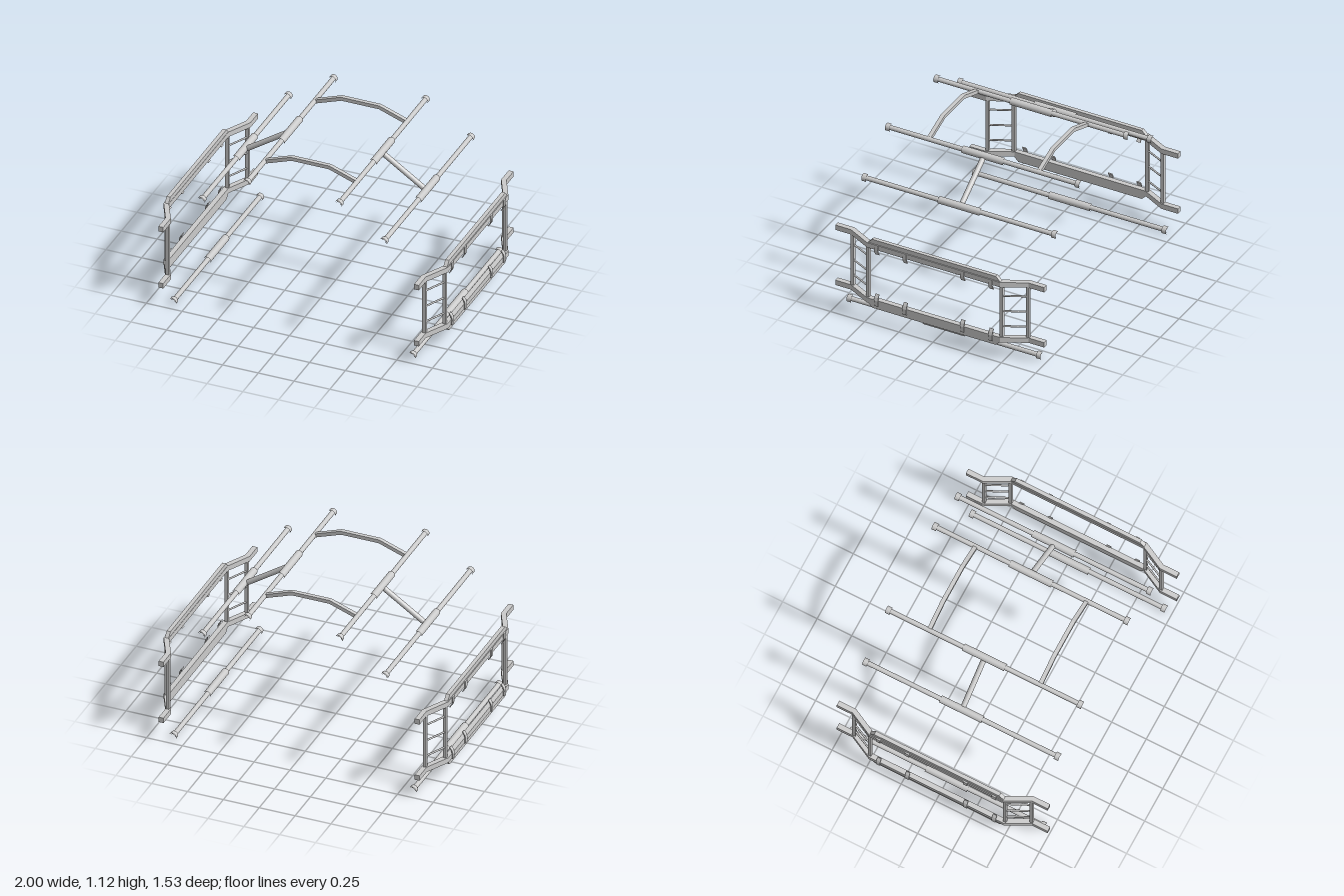
import * as THREE from 'three';

const grey = new THREE.MeshStandardMaterial({ color: 0xcccccc });
const X = new THREE.Vector3(1, 0, 0), Y = new THREE.Vector3(0, 1, 0), Z = new THREE.Vector3(0, 0, 1);

function add(parent, name, geometry, x = 0, y = 0, z = 0) {
  const mesh = new THREE.Mesh(geometry, grey);
  mesh.name = name;
  mesh.position.set(x, y, z);
  parent.add(mesh);
  return mesh;
}

// Flat bar following a 2D path with mitred corners, centred on its depth
function barAlong(points, width, depth) {
  const p = points.map(([u, v]) => new THREE.Vector2(u, v));
  const normal = (a, b) => new THREE.Vector2(a.y - b.y, b.x - a.x).normalize();
  const one = [], two = [];
  p.forEach((pt, i) => {
    const n0 = normal(p[Math.max(i - 1, 0)], p[Math.max(i, 1)]);
    const last = p.length - 1;
    const n1 = normal(p[Math.min(i, last - 1)], p[Math.min(i + 1, last)]);
    const m = n0.clone().add(n1).normalize();
    m.multiplyScalar(width / 2 / m.dot(n0));
    one.push(pt.clone().add(m));
    two.unshift(pt.clone().sub(m));
  });
  const g = new THREE.ExtrudeGeometry(new THREE.Shape([...one, ...two]), { depth, bevelEnabled: false });
  return g.translate(0, 0, -depth / 2);
}

// Open tube between two points
function tubeBetween(parent, name, a, b, radius, sides = 20, open = true) {
  const dir = b.clone().sub(a);
  const mesh = add(parent, name, new THREE.CylinderGeometry(radius, radius, dir.length(), sides, 1, open));
  mesh.position.copy(a).add(b).multiplyScalar(0.5);
  mesh.quaternion.setFromUnitVectors(Y, dir.normalize());
  return mesh;
}

// Long rod with a centre sleeve and an end collar at each end
function makeRod(x, y) {
  const rod = new THREE.Group();
  rod.name = 'rod';
  const tube = (name, r, length, z) =>
    add(rod, name, new THREE.CylinderGeometry(r, r, length, 20, 1, true).rotateX(Math.PI / 2), 0, 0, z);
  tube('rodTube', 0.016, 1.41, 0);
  tube('rodSleeve', 0.0245, 0.305, 0);
  for (const s of [-1, 1]) tube('rodCollar', 0.0255, 0.033, s * 0.693);
  rod.position.set(x, y, 0);
  return rod;
}

// Side frame on +x: two cranked rails joined by ladder ends
function makeSideFrame() {
  const frame = new THREE.Group();
  frame.name = 'sideFrame';
  const toPlan = new THREE.Matrix4().makeBasis(Z, X, Y);
  const toSide = new THREE.Matrix4().makeBasis(Z, Y, X.clone().negate());
  const midY = 0.382;
  const railPath = [[-0.763, 0.893], [-0.645, 0.893], [-0.483, 0.976], [0.483, 0.976], [0.645, 0.893], [0.763, 0.893]];

  for (const s of [-1, 1]) {
    const railY = midY + s * 0.211;
    add(frame, 'rail', barAlong(railPath, 0.034, 0.037).applyMatrix4(toPlan), 0, railY, 0);

    // Tapered stiffener on the outer edge of the rail
    const y0 = s * 0.015, y1 = s * 0.051;
    const taper = new THREE.Shape([[-0.487, y0], [0.487, y0], [0.452, y1], [-0.452, y1]]
      .map(([u, v]) => new THREE.Vector2(u, v)));
    const bar = new THREE.ExtrudeGeometry(taper, { depth: 0.026, bevelEnabled: false });
    add(frame, 'railStiffener', bar.translate(0, 0, -0.013).applyMatrix4(toSide), 0.974, railY, 0);

    // Curved clips wrapping the outside of the rail
    const clipPath = [[0.996, s * 0.022], [0.997, -s * 0.018], [0.991, -s * 0.038], [0.977, -s * 0.059]];
    for (const z of [-0.418, -0.21, 0.21, 0.418])
      add(frame, 'railClip', barAlong(clipPath, 0.007, 0.028), 0, railY, z);

    // Ladder end
    const inner = [0.971, s * 0.488], outer = [0.897, s * 0.641];
    for (const [x, z] of [inner, outer])
      add(frame, 'post', new THREE.BoxGeometry(0.022, 0.39, 0.022), x, midY, z);
    for (const y of [0.266, 0.381, 0.498])
      tubeBetween(frame, 'rung', new THREE.Vector3(inner[0], y, inner[1]),
        new THREE.Vector3(outer[0], y, outer[1]), 0.0065, 8, false);
  }
  return frame;
}

export function createModel() {
  const model = new THREE.Group();
  model.name = 'frameKit';

  // Rods: ground, eaves and upper pairs
  for (const s of [-1, 1]) {
    for (const [x, y] of [[0.836, 0.03], [0.637, 0.84], [0.322, 1.046]]) model.add(makeRod(s * x, y));
    tubeBetween(model, 'roofStrut', new THREE.Vector3(s * 0.316, 1.044, 0),
      new THREE.Vector3(s * 0.622, 0.839, 0), 0.018);
  }

  // Arched cross bars between the upper rods
  const arch = [[-0.318, 1.046], [-0.133, 1.112], [0.133, 1.112], [0.318, 1.046]];
  for (const z of [-0.402, 0.402]) add(model, 'archBar', barAlong(arch, 0.025, 0.028), 0, 0, z);

  // Side frames
  for (const angle of [0, Math.PI]) {
    const frame = makeSideFrame();
    frame.rotation.y = angle;
    model.add(frame);
  }
  return model;
}
